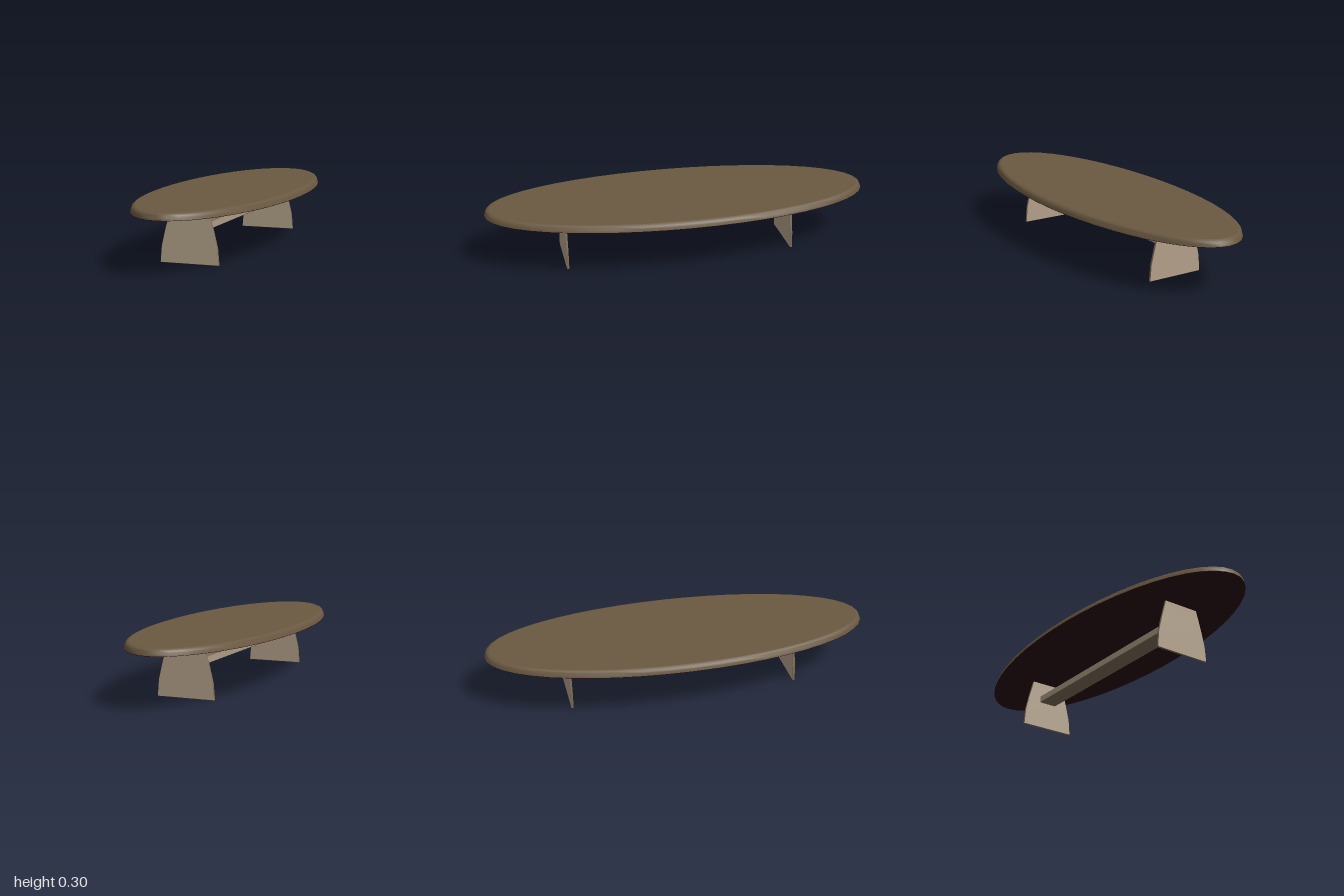
import * as THREE from 'three';
import { toCreasedNormals } from 'three/addons/utils/BufferGeometryUtils.js';

const HALF_W = 0.366, HALF_L = 1, SEGMENTS = 48, TOP_Y = 0.3, UNDER_Y = 0.266, INSET = 0.024;

const material = (name, color) => Object.assign(new THREE.MeshStandardMaterial({ color }), { name });

function addMesh(parent, name, geometry, mat) {
  const mesh = new THREE.Mesh(geometry, mat);
  mesh.name = name;
  parent.add(mesh);
  return mesh;
}

// Oval rim: a lathe whose rings become ellipses with an even rounded edge
function rimGeometry() {
  const profile = [[0, UNDER_Y + 0.002], [0.003, 0.28], [0.007, 0.29], [0.013, 0.296], [INSET, TOP_Y]]
    .map(([inset, y]) => new THREE.Vector2(1 - inset, y));
  const geometry = new THREE.LatheGeometry(profile, SEGMENTS);
  const pos = geometry.attributes.position;
  for (let i = 0; i < pos.count; i++) {
    const x = pos.getX(i), z = pos.getZ(i), r = Math.hypot(x, z);
    pos.setX(i, (x / r) * (r - 1 + HALF_W));
    pos.setZ(i, (z / r) * (r - 1 + HALF_L));
  }
  return toCreasedNormals(geometry, 0.7);
}

// Board cut from an outline, with a slight bevel that stays inside the outline
function boardGeometry(points, thickness, bevel) {
  const shape = new THREE.Shape(points.map(([x, y]) => new THREE.Vector2(x, y)));
  const geometry = new THREE.ExtrudeGeometry(shape, {
    depth: thickness - 2 * bevel, bevelThickness: bevel, bevelSize: bevel, bevelOffset: -bevel, bevelSegments: 1,
  });
  return geometry.translate(0, 0, bevel - thickness / 2);
}

export function createModel() {
  const model = new THREE.Group();
  model.name = 'ovalTable';
  const darkWood = material('darkWood', 0x6a5941);
  const paleWood = material('paleWood', 0xb19f88);
  const edgeWood = material('edgeWood', 0x7a6a55);
  const underWood = material('underWood', 0x27080e);

  // Table top: rounded rim and flat surface
  addMesh(model, 'topRim', rimGeometry(), darkWood);
  const surface = new THREE.CircleGeometry(1, SEGMENTS);
  surface.rotateX(-Math.PI / 2);
  surface.scale(HALF_W - INSET, 1, HALF_L - INSET);
  addMesh(model, 'topSurface', surface, darkWood).position.y = TOP_Y;

  // Thin dark underside
  const underside = new THREE.CylinderGeometry(1, 1, 0.002, SEGMENTS);
  underside.scale(HALF_W, 1, HALF_L);
  addMesh(model, 'underside', underside, underWood).position.y = UNDER_Y + 0.001;

  // Panel legs with bowed, tapering sides and darker edges
  const side = [[0.151, 0], [0.144, 0.083], [0.124, 0.167], [0.096, UNDER_Y]];
  const outline = [...side, ...side.map(([x, y]) => [-x, y]).reverse()];
  const leg = boardGeometry(outline, 0.012, 0.0015);
  addMesh(model, 'frontLeg', leg, [paleWood, edgeWood]).position.z = 0.601;
  addMesh(model, 'backLeg', leg, [paleWood, edgeWood]).position.z = -0.585;

  // Stretcher between the legs, pale on its sides and darker above and below
  const bar = boardGeometry([[-0.59, -0.019], [0.59, -0.019], [0.59, 0.019], [-0.59, 0.019]], 0.1, 0.003);
  bar.rotateY(Math.PI / 2);
  addMesh(model, 'stretcher', bar, [paleWood, edgeWood]).position.set(0, 0.168, 0.008);
  return model;
}
